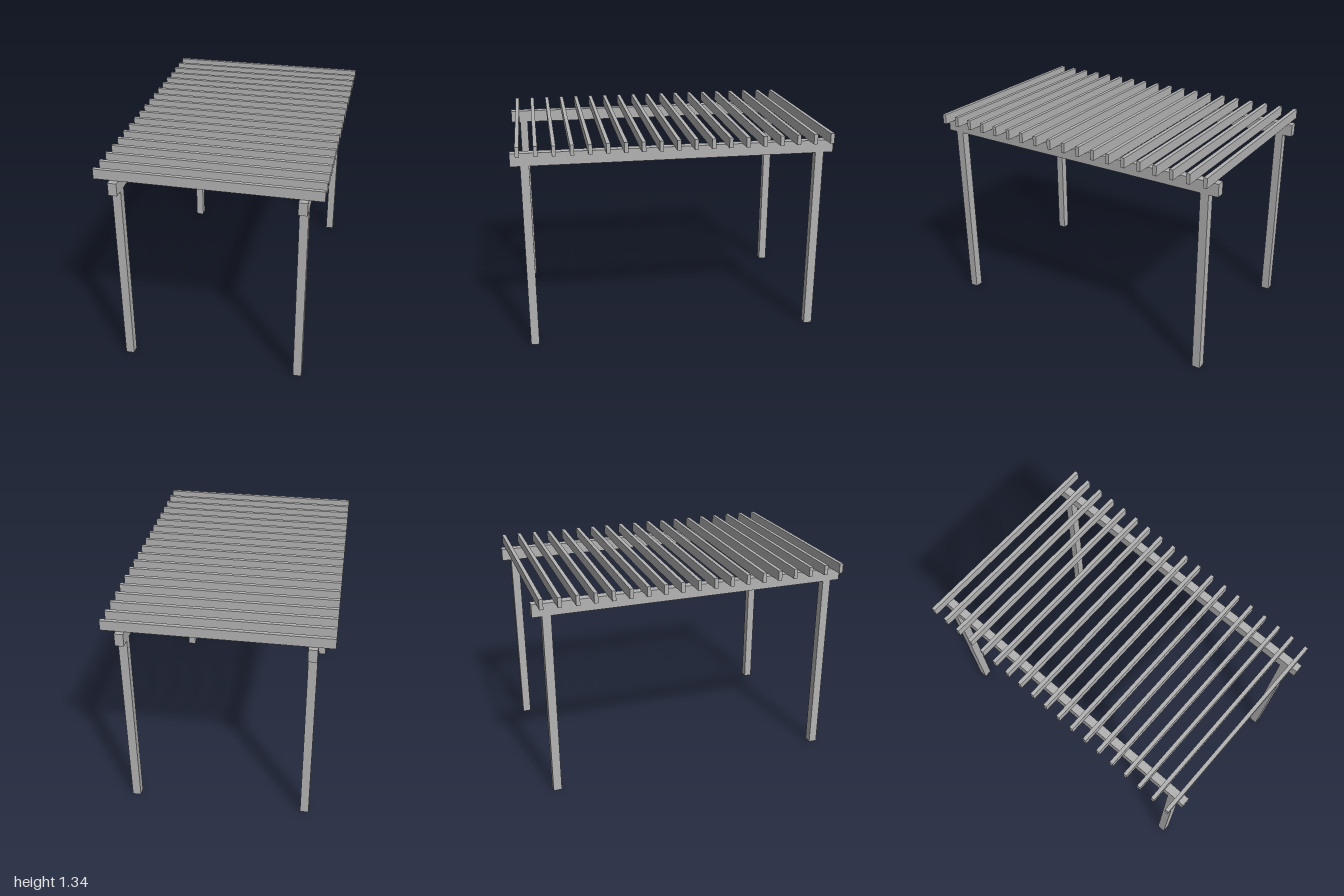
import * as THREE from 'three';

export function createModel() {
  const pergola = new THREE.Group();
  pergola.name = 'pergola';

  const timber = new THREE.MeshStandardMaterial({ color: 0xb4b4b4 });
  timber.name = 'grey timber';

  const thick = 0.053;    // posts and beams
  const beamBottom = 1.2;
  const beamTop = 1.28;
  const rafterTop = 1.343;

  // Box resting on height y, centred on x and z
  function addTimber(name, w, h, d, x, y, z) {
    const mesh = new THREE.Mesh(new THREE.BoxGeometry(w, h, d), timber);
    mesh.name = name;
    mesh.position.set(x, y + h / 2, z);
    pergola.add(mesh);
  }

  // Two long beams, each carried by a front and a back post
  for (const [side, x] of [['right', -0.545], ['left', 0.553]]) {
    addTimber(side + 'Beam', thick, beamTop - beamBottom, 2, x, beamBottom, 0);
    addTimber(side + 'FrontPost', thick, beamBottom, thick, x, 0, 0.914);
    addTimber(side + 'BackPost', thick, beamBottom, thick, x, 0, -0.914);
  }

  // Evenly spaced rafters lying across the beams
  const count = 19, firstZ = -0.959, lastZ = 0.953;
  for (let i = 0; i < count; i++) {
    const z = THREE.MathUtils.lerp(firstZ, lastZ, i / (count - 1));
    addTimber('rafter' + (i + 1), 1.338, rafterTop - beamTop, 0.024, 0, beamTop, z);
  }

  return pergola;
}
